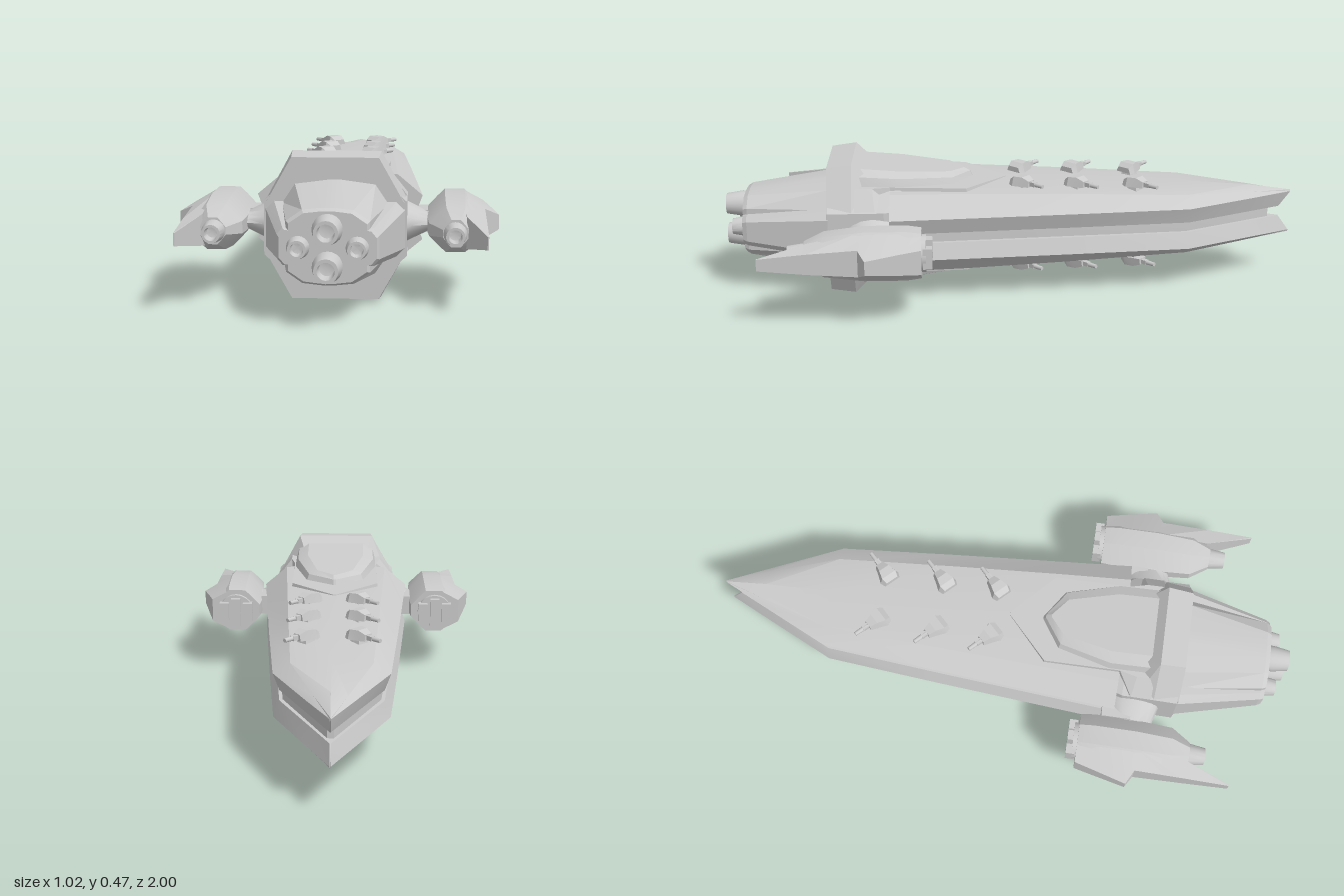
import * as THREE from 'three';
import { toCreasedNormals } from 'three/addons/utils/BufferGeometryUtils.js';

const material = new THREE.MeshStandardMaterial({ color: 0xcccccc });

// Closed solid through matching rings of [x, y, z] points, always facing outward.
function loft(rings, crease = 0.45) {
  const tris = [];
  const n = rings[0].length;
  const cap = (ring, flip) => {
    const c = [0, 1, 2].map(k => ring.reduce((s, p) => s + p[k], 0) / n);
    ring.forEach((p, i) => {
      const q = ring[(i + 1) % n];
      tris.push(flip ? [c, q, p] : [c, p, q]);
    });
  };
  for (let r = 0; r < rings.length - 1; r++) {
    for (let i = 0; i < n; i++) {
      const j = (i + 1) % n, a = rings[r], b = rings[r + 1];
      tris.push([a[i], a[j], b[j]], [a[i], b[j], b[i]]);
    }
  }
  cap(rings[0], true);
  cap(rings[rings.length - 1], false);
  const volume = tris.reduce((s, [a, b, c]) => s
    + a[0] * (b[1] * c[2] - b[2] * c[1])
    + a[1] * (b[2] * c[0] - b[0] * c[2])
    + a[2] * (b[0] * c[1] - b[1] * c[0]), 0);
  if (volume < 0) tris.forEach(t => t.reverse());
  const geo = new THREE.BufferGeometry();
  geo.setAttribute('position', new THREE.Float32BufferAttribute(tris.flat(2), 3));
  return toCreasedNormals(geo, crease);
}

// Reflected copy with the winding restored.
function reflect(geo, sx, sy) {
  const g = geo.index ? geo.toNonIndexed() : geo.clone();
  g.scale(sx, sy, 1);
  if (sx * sy < 0) {
    for (const a of Object.values(g.attributes)) {
      for (let i = 0; i < a.count; i += 3) {
        for (let k = 0; k < a.itemSize; k++) {
          const t = a.getComponent(i + 1, k);
          a.setComponent(i + 1, k, a.getComponent(i + 2, k));
          a.setComponent(i + 2, k, t);
        }
      }
    }
  }
  return g;
}

// Ring symmetric in x and y from one quadrant, listed from top to side.
function quadRing(points, z, cx = 0) {
  const back = [...points].reverse();
  return [
    ...points.map(([x, y]) => [cx + x, y, z]),
    ...back.map(([x, y]) => [cx + x, -y, z]),
    ...points.map(([x, y]) => [cx - x, -y, z]),
    ...back.map(([x, y]) => [cx - x, y, z]),
  ];
}

// Ring from the +x half of a plan outline, at a height that may depend on z.
function planRing(half, height) {
  const all = [...half, ...[...half].reverse().map(([x, z]) => [-x, z])];
  return all.map(([x, z]) => [x, height(z), z]);
}

// Hollow engine nozzle running along +z from z0 to z1.
function nozzle(x, y, r, z0, z1) {
  const l = z1 - z0;
  const profile = [[r * 0.95, 0], [r, l * 0.45], [r * 0.8, l], [r * 0.58, l], [r * 0.5, l * 0.55], [0, l * 0.5]]
    .map(([a, b]) => new THREE.Vector2(a, b));
  const geo = new THREE.LatheGeometry(profile, 20);
  return toCreasedNormals(geo.rotateX(Math.PI / 2).translate(x, y, z0), 0.5);
}

const box = (w, h, d, x, y, z) => new THREE.BoxGeometry(w, h, d).translate(x, y, z);

export function createModel() {
  const model = new THREE.Group();
  model.name = 'spaceship';
  const body = new THREE.Group();
  body.name = 'body';
  body.position.y = 0.2325; // everything below is built about the mid plane
  model.add(body);
  const add = (name, geo) => {
    const mesh = new THREE.Mesh(geo, material);
    mesh.name = name;
    body.add(mesh);
  };
  const addUpDown = (name, geo) => {
    add('upper' + name, geo);
    add('lower' + name, reflect(geo, 1, -1));
  };
  const addLeftRight = (name, geo) => {
    add('left' + name, geo);
    add('right' + name, reflect(geo, -1, 1));
  };

  // Long blade hulls: [z, half width, roof height]
  const hull = [[0.42, 0.268, 0.152], [0.16, 0.248, 0.148], [-0.2, 0.22, 0.136],
    [-0.61, 0.185, 0.118], [-0.85, 0.073, 0.1], [-1, 0.002, 0.079]];
  addUpDown('Hull', loft(hull.map(([z, w, top], i) => {
    const zLow = i === hull.length - 1 ? -0.96 : z;
    const low = Math.max(w - 0.02, 0.002), chine = 0.0725;
    const roof = Math.max(top - 0.012, chine + 0.002);
    return [[low, 0.0175, zLow], [w, chine, z], [w * 0.7, roof, z], [0, top, z],
      [-w * 0.7, roof, z], [-w, chine, z], [-low, 0.0175, zLow]];
  })));

  // Recessed core in the slot between the hulls
  add('hullCore', loft([[0.42, 0.235], [-0.6, 0.155], [-0.92, 0.01]]
    .map(([z, w]) => quadRing([[w, 0.03]], z))));

  // Central block, collar and rear engine casing
  add('centralBlock', loft([[0.38, 0.2], [0.44, 0.22], [0.63, 0.222]]
    .map(([z, w]) => quadRing([[0.15, 0.15], [w, 0.085]], z)), 0.2));
  add('collar', loft([
    quadRing([[0.12, 0.185], [0.2, 0.08]], 0.495),
    quadRing([[0.14, 0.2325], [0.22, 0.085]], 0.55),
    quadRing([[0.135, 0.222], [0.213, 0.083]], 0.635),
  ], 0.15));
  add('engineCasing', loft([
    quadRing([[0.02, 0.154], [0.125, 0.14], [0.165, 0.08]], 0.63),
    quadRing([[0.02, 0.114], [0.075, 0.108], [0.122, 0.075]], 0.915),
    quadRing([[0.02, 0.106], [0.07, 0.1], [0.114, 0.07]], 0.93),
  ], 0.3));
  add('sideCasing', loft([
    quadRing([[0.19, 0.086], [0.216, 0.06]], 0.63),
    quadRing([[0.132, 0.055], [0.149, 0.035]], 0.915),
    quadRing([[0.125, 0.05], [0.142, 0.03]], 0.93),
  ], 0.2));

  // Main engine nozzles
  addUpDown('Nozzle', nozzle(0, 0.055, 0.045, 0.9, 1));
  addLeftRight('Nozzle', nozzle(0.086, 0, 0.034, 0.9, 0.97));

  // Shoulder deck and raised canopy
  addUpDown('Deck', loft([
    planRing([[0.005, 0.01], [0.16, 0.155], [0.16, 0.41], [0.222, 0.47], [0.222, 0.54]], () => 0.09),
    planRing([[0.005, 0.02], [0.155, 0.16], [0.155, 0.42], [0.17, 0.48], [0.17, 0.54]],
      z => 0.145 + 0.025 * z),
  ], 0.15));
  addUpDown('Canopy', loft([
    planRing([[0.005, 0.135], [0.105, 0.2], [0.155, 0.38], [0.155, 0.54]], () => 0.145),
    planRing([[0.005, 0.145], [0.095, 0.207], [0.142, 0.385], [0.142, 0.54]], z => 0.158 + 0.06 * z),
    planRing([[0.005, 0.165], [0.065, 0.215], [0.105, 0.385], [0.105, 0.54]], z => 0.166 + 0.08 * z),
  ], 0.35));

  // Pylons: [x, centre z, half length, half height]
  addLeftRight('Pylon', loft([[0.2, 0.48, 0.1, 0.075], [0.235, 0.48, 0.09, 0.055], [0.285, 0.48, 0.075, 0.03],
    [0.31, 0.48, 0.08, 0.038], [0.34, 0.48, 0.09, 0.06]].map(([x, z, l, h]) =>
    Array.from({ length: 16 }, (_, i) => {
      const a = i * Math.PI / 8;
      return [x, h * Math.sin(a), z + l * Math.cos(a)];
    })), 0.7));
  addLeftRight('PylonRoot', box(0.07, 0.07, 0.1, 0.25, 0, 0.43));

  // Side engine pods
  addLeftRight('Pod', loft([[0.31, 0.085, 0.078], [0.36, 0.09, 0.085], [0.5, 0.09, 0.085],
    [0.63, 0.082, 0.07], [0.695, 0.04, 0.042]].map(([z, w, h]) =>
    quadRing([[w * 0.36, h], [w * 0.65, h * 0.7], [w, h * 0.28]], z, 0.372)), 0.5));
  addLeftRight('PodNozzle', nozzle(0.37, 0, 0.036, 0.66, 0.75));

  // Outer pod armour: [z, inner x, inner half height, outer x, outer half height]
  addLeftRight('PodArmour', loft([[0.31, 0.4, 0.076, 0.465, 0.042], [0.38, 0.4, 0.085, 0.483, 0.036],
    [0.49, 0.4, 0.085, 0.511, 0.024], [0.515, 0.4, 0.083, 0.466, 0.046], [0.68, 0.405, 0.05, 0.466, 0.035],
    [0.84, 0.462, 0.02, 0.466, 0.02]].map(([z, xi, hi, xo, ho]) =>
    [[xi, hi, z], [xo, ho, z], [xo, -ho, z], [xi, -hi, z]]), 0.15));

  // Pod intakes: drum with three slats
  addLeftRight('Intake', new THREE.CylinderGeometry(0.063, 0.063, 0.07, 20).rotateX(Math.PI / 2).translate(0.375, 0, 0.33));
  [[-0.044, 0.07], [0, 0.105], [0.044, 0.07]].forEach(([dx, h]) =>
    addLeftRight('IntakeSlat', box(0.034, h, 0.03, 0.375 + dx, 0, 0.29)));

  // Gun turrets on both decks, aimed outward and ahead
  const turretParts = [
    ['TurretBase', loft([[0.024, -0.02], [0.016, 0.012]].map(([s, y]) =>
      [[-s, y, -s], [s, y, -s], [s, y, s], [-s, y, s]]))],
    ['TurretHead', loft([[0.042, 0.006, 0.018], [0.015, 0.005, 0.026], [-0.015, 0.005, 0.037], [-0.034, 0.006, 0.03]]
      .map(([z, y0, w], i) => {
        const top = [0.027, 0.038, 0.037, 0.024][i];
        return [[-w, y0, z], [w, y0, z], [w * 0.75, top, z], [-w * 0.75, top, z]];
      }), 0.2)],
    ['TurretBarrel', new THREE.CylinderGeometry(0.007, 0.009, 0.06, 10).rotateX(Math.PI / 2).translate(0, 0.017, 0.065)],
    ['TurretMuzzle', box(0.017, 0.015, 0.026, 0, 0.017, 0.05)],
  ];
  for (const z of [-0.43, -0.225, -0.035]) {
    const y = 0.134 - 0.045 * -z * 0.45;
    for (const [name, geo] of turretParts) {
      const placed = geo.clone().rotateY(Math.PI * 0.75).translate(0.085, y, z);
      for (const sx of [1, -1]) addUpDown(name, reflect(placed, sx, 1));
    }
  }
  return model;
}
